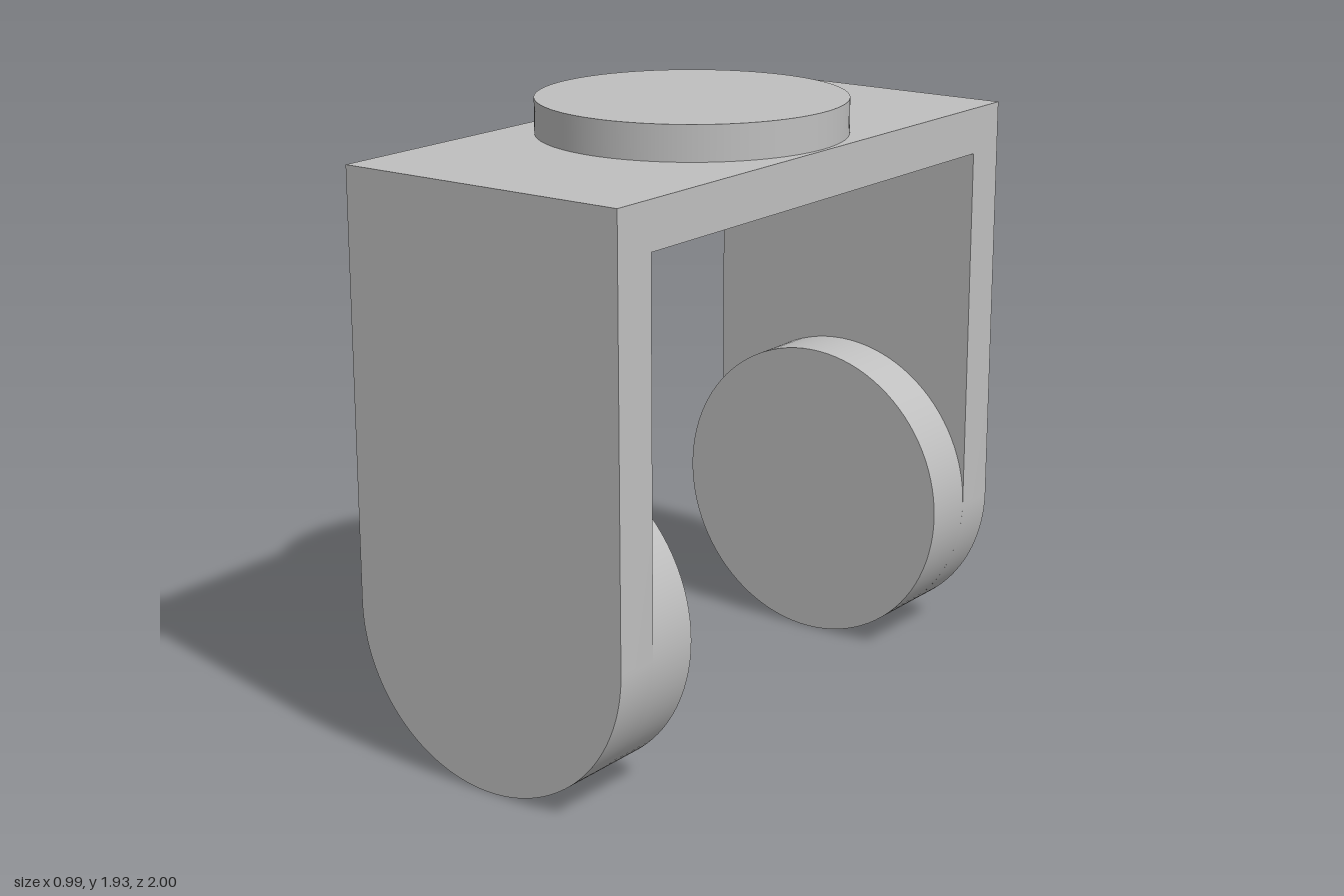
import * as THREE from 'three';
import { toCreasedNormals } from 'three/addons/utils/BufferGeometryUtils.js';

const R = 0.493;       // half width of the bracket and radius of its rounded ends
const TOP = 1.825;     // top of the bracket
const INNER_Z = 0.852; // inner face of each arm
const PAD_Z = 0.67;    // inner face of each pivot pad

export function createModel() {
  const model = new THREE.Group();
  const grey = new THREE.MeshStandardMaterial({ color: 0xbfbfbf });
  grey.name = 'grey';

  const add = (name, geometry, x, y, z) => {
    const mesh = new THREE.Mesh(geometry, grey);
    mesh.name = name;
    mesh.position.set(x, y, z);
    model.add(mesh);
    return mesh;
  };

  // Arm outline: straight sides with a half-round lower end
  const outline = new THREE.Shape();
  outline.moveTo(R, TOP);
  outline.lineTo(-R, TOP);
  outline.lineTo(-R, R);
  outline.absarc(0, R, R, Math.PI, Math.PI * 2, false);
  outline.closePath();
  const armGeometry = toCreasedNormals(
    new THREE.ExtrudeGeometry(outline, { depth: 1 - INNER_Z, bevelEnabled: false, curveSegments: 48 }),
    0.5
  );

  // Round pad on the inner face of each arm
  const padGeometry = new THREE.CylinderGeometry(R, R, INNER_Z - PAD_Z, 96);
  padGeometry.rotateX(Math.PI / 2);

  for (const [side, s] of [['front', 1], ['back', -1]]) {
    add(side + 'Arm', armGeometry, 0, 0, s > 0 ? INNER_Z : -1);
    add(side + 'PivotPad', padGeometry, 0, R, s * (INNER_Z + PAD_Z) / 2);
  }

  // Bridge joining the arms
  const thickness = 0.147;
  add('bridge', new THREE.BoxGeometry(R * 2, thickness, INNER_Z * 2), 0, TOP - thickness / 2, 0);

  // Round mounting disc on top
  const discHeight = 0.11;
  add('topDisc', new THREE.CylinderGeometry(0.48, 0.48, discHeight, 96), 0, TOP + discHeight / 2, 0);

  return model;
}
